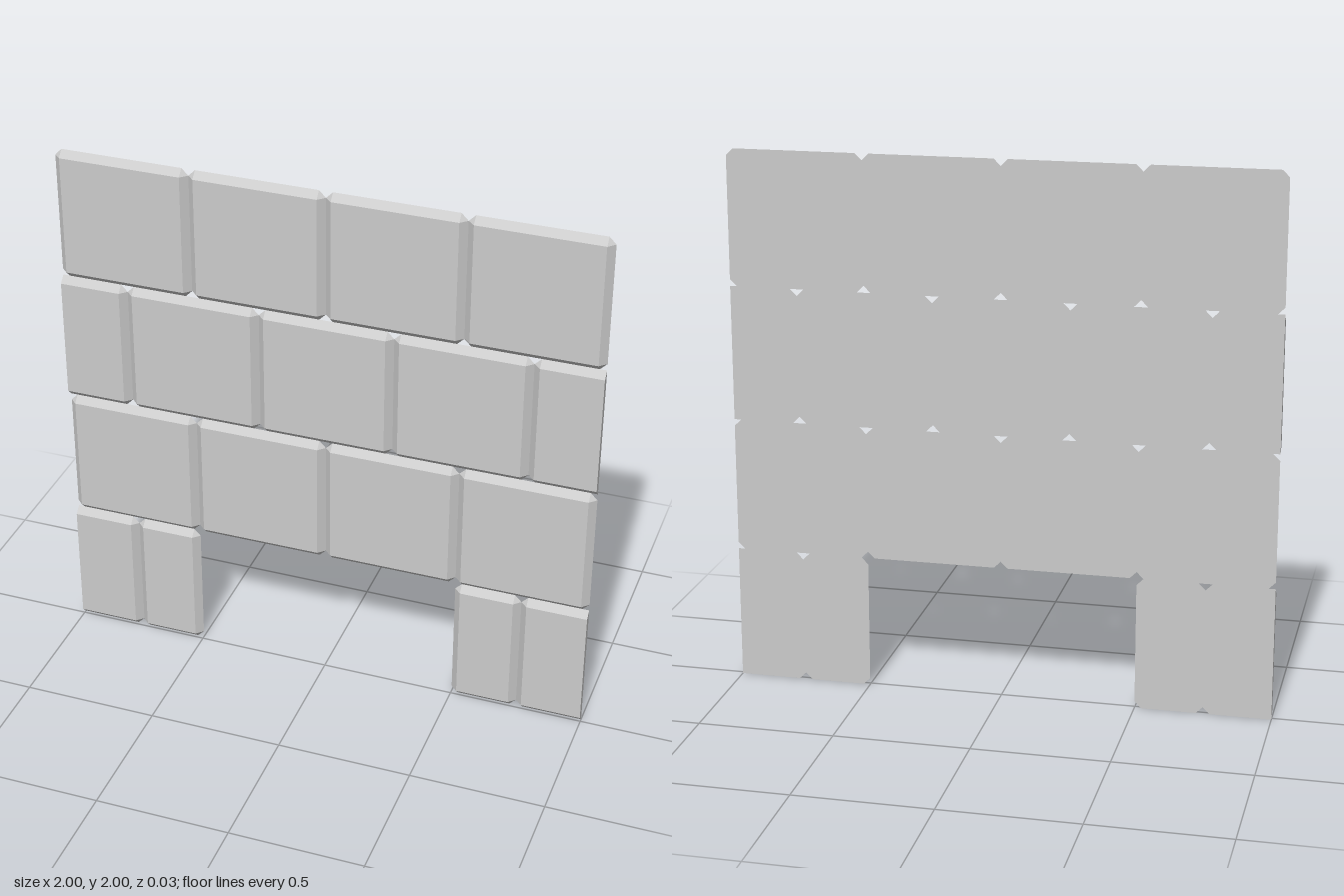
import * as THREE from 'three';

const BEVEL = 0.025;   // bevel width, also the corner cut
const HALF = 0.0125;   // half of the panel thickness

const material = new THREE.MeshStandardMaterial({ color: 0xcccccc, flatShading: true });

// One brick: flat back, smaller raised front, bevelled rim with cut corners.
// A side lying on the panel edge of a half brick is cut off straight.
function brickGeometry(x0, x1, y0, y1, cutLeft, cutRight) {
  const back = [], front = [];
  // corners counterclockwise as seen from the front
  for (const [sx, sy] of [[-1, -1], [1, -1], [1, 1], [-1, 1]]) {
    const x = sx < 0 ? x0 : x1, y = sy < 0 ? y0 : y1;
    const cut = sx < 0 ? cutLeft : cutRight;
    const inX = x - sx * BEVEL, inY = y - sy * BEVEL;
    const face = [cut ? x : inX, inY, HALF];
    if (cut) {
      back.push([x, y, -HALF]);
      front.push(face);
    } else {
      const pair = [[x, inY, -HALF], [inX, y, -HALF]];
      if (sx * sy < 0) pair.reverse();
      back.push(...pair);
      front.push(face, face);
    }
  }

  const positions = [];
  const tri = (a, b, c) => {
    if (a !== b && b !== c && a !== c) positions.push(...a, ...b, ...c);
  };
  const n = back.length;
  for (let i = 0; i < n; i++) {
    const j = (i + 1) % n;
    // rim
    tri(back[i], back[j], front[j]);
    tri(back[i], front[j], front[i]);
    // front and back faces
    if (i > 0 && j > 0) {
      tri(front[0], front[i], front[j]);
      tri(back[0], back[j], back[i]);
    }
  }
  const geometry = new THREE.BufferGeometry();
  geometry.setAttribute('position', new THREE.Float32BufferAttribute(positions, 3));
  geometry.computeVertexNormals();
  return geometry;
}

export function createModel() {
  const wall = new THREE.Group();
  wall.name = 'brickWall';

  // joints of each course from the bottom up; the lowest leaves an opening
  const whole = [-1, -0.5, 0, 0.5, 1];
  const courses = [
    { name: 'footCourse', joints: [-1, -0.75, -0.5, 0.5, 0.75, 1], halfEnds: true, gap: 2 },
    { name: 'lowerCourse', joints: whole },
    { name: 'middleCourse', joints: [-1, -0.75, -0.25, 0.25, 0.75, 1], halfEnds: true },
    { name: 'topCourse', joints: whole },
  ];

  courses.forEach(({ name, joints, halfEnds = false, gap = -1 }, row) => {
    const course = new THREE.Group();
    course.name = name;
    const last = joints.length - 2;
    for (let i = 0; i <= last; i++) {
      if (i === gap) continue;
      const brick = new THREE.Mesh(
        brickGeometry(joints[i], joints[i + 1], row * 0.5, row * 0.5 + 0.5,
          halfEnds && i === 0, halfEnds && i === last),
        material);
      brick.name = halfEnds && (i === 0 || i === last) ? 'endBrick' : 'brick';
      course.add(brick);
    }
    wall.add(course);
  });
  return wall;
}
